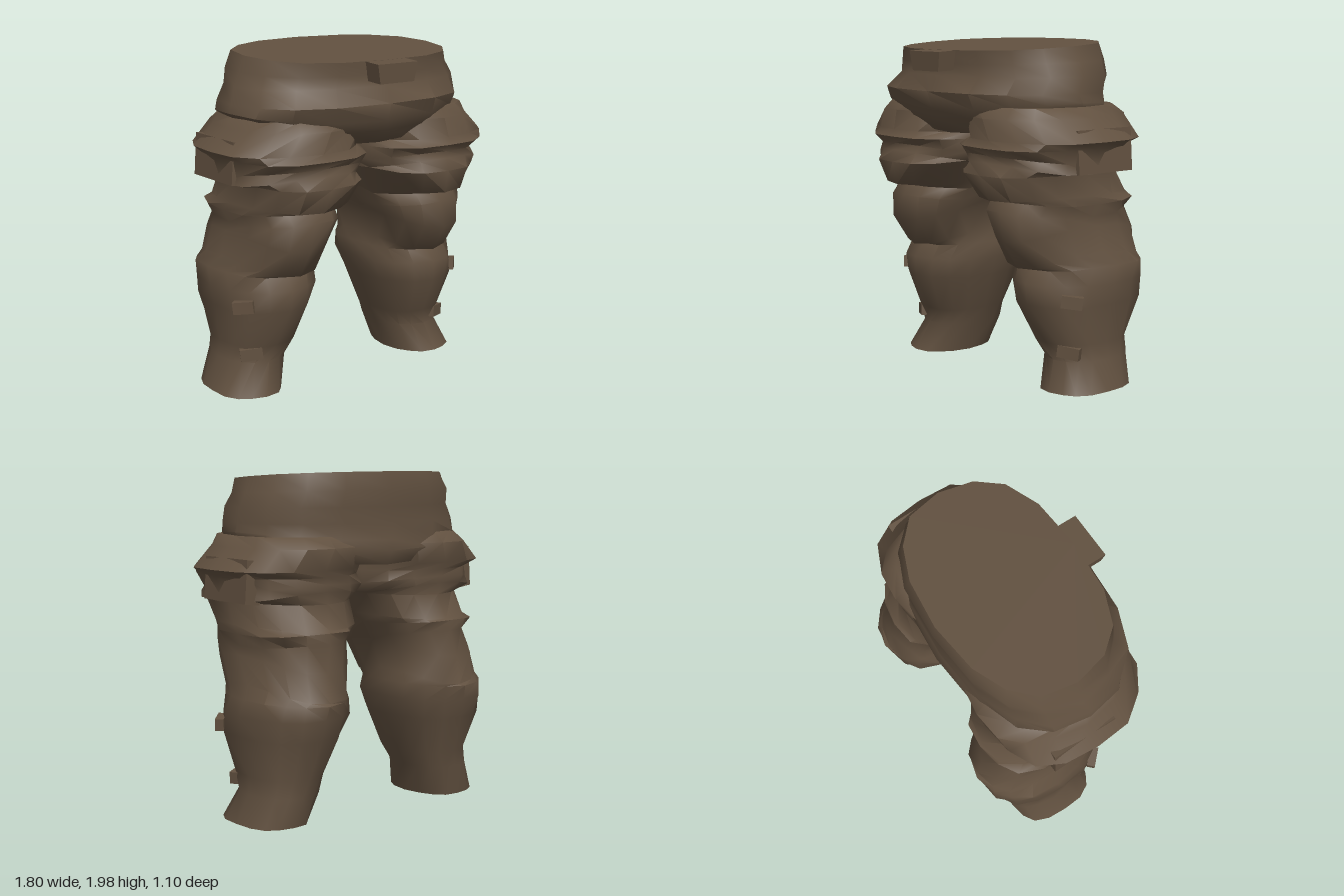
import * as THREE from 'three';
import { toCreasedNormals } from 'three/addons/utils/BufferGeometryUtils.js';

const SEG = 16;

// Skin closed cross-sections, listed top to bottom, and cap both ends.
// ring: [y, xMin, xMax, zFront, zBack, lift at the sides, tilt along z]
function loft(rings, boxy, wrinkle, mirror) {
  const pos = [], idx = [];
  const s = mirror ? -1 : 1;
  const tri = (a, b, c) => (mirror ? idx.push(a, c, b) : idx.push(a, b, c));
  const soft = (v) => Math.sign(v) * Math.pow(Math.abs(v), boxy);
  rings.forEach(([y, x0, x1, zf, zb, lift = 0, tilt = 0], r) => {
    for (let i = 0; i < SEG; i++) {
      const a = (i / SEG) * Math.PI * 2;
      const sx = soft(Math.sin(a)), cz = soft(Math.cos(a));
      // slight cloth wrinkles away from the four extremes
      const w = 1 + wrinkle * Math.sin(a * 2) * Math.sin(r * 2.1 + a * 3);
      const x = (x0 + x1) / 2 + ((x1 - x0) / 2) * sx * w;
      const z = (zf + zb) / 2 + ((zf - zb) / 2) * cz * w;
      pos.push(s * x, y + lift * Math.sin(a) ** 2 + tilt * z, z);
    }
  });
  for (let r = 0; r < rings.length - 1; r++) {
    for (let i = 0; i < SEG; i++) {
      const j = (i + 1) % SEG, t = r * SEG, b = t + SEG;
      tri(t + i, b + i, b + j);
      tri(t + i, b + j, t + j);
    }
  }
  const last = (rings.length - 1) * SEG;
  for (let i = 1; i < SEG - 1; i++) {
    tri(0, i, i + 1);
    tri(last, last + i + 1, last + i);
  }
  const g = new THREE.BufferGeometry();
  g.setAttribute('position', new THREE.Float32BufferAttribute(pos, 3));
  g.setIndex(idx);
  return toCreasedNormals(g, 1.0);
}

// Hips, with a sloped waist and a fold hanging over the thighs
const hipRings = [
  [1.97, -0.66, 0.65, 0.45, -0.44, 0, -0.06],
  [1.88, -0.69, 0.68, 0.45, -0.46, 0, -0.03],
  [1.80, -0.73, 0.71, 0.45, -0.44],
  [1.71, -0.77, 0.71, 0.52, -0.45],
  [1.61, -0.78, 0.73, 0.49, -0.44, 0.05],
  [1.55, -0.72, 0.70, 0.46, -0.46, 0.06],
  [1.47, -0.60, 0.58, 0.38, -0.42, 0.07],
];

// Baggy trouser leg, with stacked folds that sag at the front
const legRings = [
  [1.64, 0.06, 0.74, 0.40, -0.40],
  [1.58, 0.02, 0.79, 0.47, -0.46],
  [1.46, 0.00, 0.90, 0.46, -0.44],
  [1.42, 0.00, 0.86, 0.49, -0.43],
  [1.38, 0.01, 0.85, 0.46, -0.42, -0.04],
  [1.34, 0.02, 0.84, 0.47, -0.42, -0.06],
  [1.27, 0.06, 0.77, 0.50, -0.41, 0.01],
  [1.13, 0.11, 0.77, 0.45, -0.46, 0.02],
  [1.12, 0.13, 0.78, 0.36, -0.48, -0.02],
  [1.06, 0.16, 0.75, 0.39, -0.48, -0.03],
  [0.90, 0.21, 0.77, 0.39, -0.50, 0.08],
  [0.74, 0.22, 0.76, 0.29, -0.53, 0.08],
  [0.73, 0.21, 0.82, 0.20, -0.55, 0.02],
  [0.65, 0.22, 0.83, 0.26, -0.53],
  [0.53, 0.25, 0.81, 0.25, -0.50],
  [0.30, 0.34, 0.77, 0.13, -0.42],
  [0.20, 0.39, 0.78, 0.10, -0.40],
  [0.03, 0.42, 0.83, 0.17, -0.37],
];

// Small tapered block: a box whose bottom is pulled inwards
function taperedBox(w, h, d, taper) {
  const g = new THREE.BoxGeometry(w, h, d);
  const p = g.attributes.position;
  for (let i = 0; i < p.count; i++) {
    if (p.getY(i) < 0) p.setX(i, p.getX(i) * taper);
  }
  g.computeVertexNormals();
  return g;
}

export function createModel() {
  const group = new THREE.Group();
  const cloth = new THREE.MeshStandardMaterial({ color: 0x625140 });
  cloth.name = 'brown cloth';

  const add = (name, geometry, parent = group) => {
    const mesh = new THREE.Mesh(geometry, cloth);
    mesh.name = name;
    parent.add(mesh);
    return mesh;
  };

  add('hips', loft(hipRings, 0.82, 0.02, false));

  // Flap at the front of the waistband
  const flap = add('waistFlap', taperedBox(0.28, 0.11, 0.14, 0.85));
  flap.position.set(-0.01, 1.885, 0.48);
  flap.rotation.x = 0.06;

  for (const side of [1, -1]) {
    const label = side > 0 ? 'left' : 'right';
    const leg = new THREE.Group();
    leg.name = label + 'Leg';
    group.add(leg);
    // The right hem hangs a touch lower and wider
    const rings = legRings.map((r) => [...r]);
    if (side < 0) {
      const hem = rings[rings.length - 1];
      hem[0] = 0.015;
      hem[1] = 0.44;
      hem[2] = 0.85;
    }
    add(label + 'Trouser', loft(rings, 0.85, 0.05, side < 0), leg);

    // Cargo pocket hanging on the outer thigh
    const pocket = add(label + 'Pocket', taperedBox(0.12, 0.24, 0.4, 0.8), leg);
    pocket.position.set(side * 0.79, 1.4, -0.04);
    pocket.rotation.z = side * 0.12;

    // Strap buckles on the outer front of the shin
    [[0.69, 0.26, 0.075, 0.13, 0.5], [0.77, 0.57, 0.13, 0.12, 0.8]].forEach(([x, y, z, w, turn], i) => {
      const buckle = add(label + 'Buckle' + (i + 1), new THREE.BoxGeometry(w, 0.07, 0.05), leg);
      buckle.position.set(side * x, y, z);
      buckle.rotation.set(0, side * turn, side * -0.12);
    });
  }
  return group;
}
